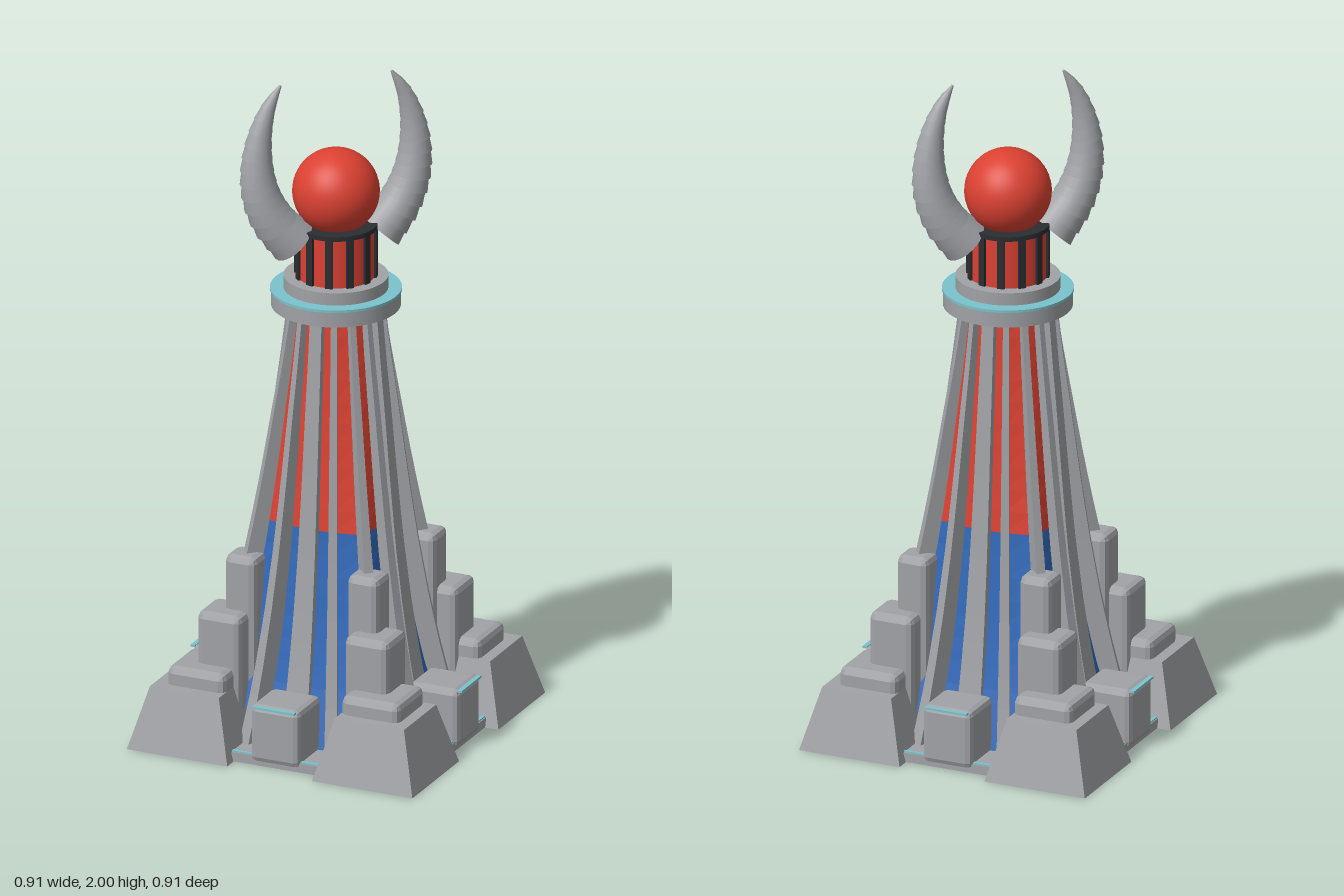
import * as THREE from 'three';
import { RoundedBoxGeometry } from 'three/addons/geometries/RoundedBoxGeometry.js';

const mat = (name, color) => {
  const m = new THREE.MeshStandardMaterial({ color });
  m.name = name;
  return m;
};

// Half width of the shaft by height: [y, radius]
const PROFILE = [[0, 0.3], [0.2, 0.256], [0.4, 0.224], [0.6, 0.199], [0.8, 0.18], [1.0, 0.163], [1.15, 0.149], [1.32, 0.135]];
function halfWidth(y) {
  for (let i = 1; i < PROFILE.length; i++) {
    const [y0, r0] = PROFILE[i - 1], [y1, r1] = PROFILE[i];
    if (y <= y1) return r0 + (r1 - r0) * (y - y0) / (y1 - y0);
  }
  return PROFILE[PROFILE.length - 1][1];
}
// Square at the foot, blending to round at the top
function shaftRadius(angle, y) {
  const square = 1 / Math.max(Math.abs(Math.cos(angle)), Math.abs(Math.sin(angle)));
  return halfWidth(y) * (1 + (1 - y / 1.32) * (square - 1));
}
const coreRadius = (angle, y) => shaftRadius(angle, y) - 0.016 * Math.min(1, y / 0.3);

function flat(geometry) {
  const g = geometry.index ? geometry.toNonIndexed() : geometry;
  g.computeVertexNormals();
  return g;
}

function coreGeometry(y0, y1) {
  const g = new THREE.CylinderGeometry(1, 1, 1, 16, 10);
  const p = g.attributes.position;
  for (let i = 0; i < p.count; i++) {
    const x = p.getX(i), z = p.getZ(i), y = y0 + (p.getY(i) + 0.5) * (y1 - y0);
    const r = Math.hypot(x, z) < 0.5 ? 0 : coreRadius(Math.atan2(x, z), y);
    p.setXYZ(i, x * r, y, z * r);
  }
  return flat(g);
}

// Curved buttress pointing along +z, shaped for its place around the shaft
function ribGeometry(angle, widthRatio, proudFoot, proudTop) {
  const g = new THREE.BoxGeometry(1, 1, 1, 1, 16, 1);
  const p = g.attributes.position;
  for (let i = 0; i < p.count; i++) {
    const t = p.getY(i) + 0.5, y = 0.004 + t * 1.312;
    const r = shaftRadius(angle, y);
    const proud = proudFoot + (proudTop - proudFoot) * t;
    const z = p.getZ(i) > 0 ? r + proud : r * 0.8;
    p.setXYZ(i, p.getX(i) * 2 * halfWidth(y) * widthRatio, y, z);
  }
  return flat(g);
}

export function createModel() {
  const model = new THREE.Group();
  model.name = 'tower';
  const grey = mat('stone grey', 0xa0a2a6), red = mat('red', 0xdb4132), blue = mat('blue', 0x3068b8);
  const teal = mat('pale teal', 0x7cc3cc), dark = mat('dark trim', 0x2b2d31);

  const add = (parent, name, geometry, material, x = 0, y = 0, z = 0) => {
    const m = new THREE.Mesh(geometry, material);
    m.name = name;
    m.position.set(x, y, z);
    parent.add(m);
    return m;
  };
  const cyl = (name, rTop, rBottom, y0, y1, material, sides = 48) =>
    add(model, name, new THREE.CylinderGeometry(rTop, rBottom, y1 - y0, sides), material, 0, (y0 + y1) / 2);
  const block = (w, h, d, c) => flat(new RoundedBoxGeometry(w, h, d, 1, c));

  // Shaft core in two colours
  add(model, 'lowerCore', coreGeometry(0, 0.66), blue);
  add(model, 'upperCore', coreGeometry(0.66, 1.31), red);

  // Sixteen ribs: broad on the four faces, slim between
  for (let i = 0; i < 16; i++) {
    const a = i * Math.PI / 8;
    const g = i % 4 === 0 ? ribGeometry(a, 0.136, 0.004, 0.002) : ribGeometry(a, 0.065, 0.045, 0.004);
    add(model, 'rib', g, grey).rotation.y = a;
  }

  for (let i = 0; i < 4; i++) {
    // Stepped corner buttress
    const corner = new THREE.Group();
    corner.name = 'cornerButtress';
    corner.rotation.y = i * Math.PI / 2;
    const foot = new THREE.CylinderGeometry(0.22 / Math.SQRT2, 0.32 / Math.SQRT2, 0.186, 4);
    add(corner, 'cornerFoot', flat(foot.rotateY(Math.PI / 4)), grey, 0.295, 0.094, 0.295);
    for (const [inner, outer, top] of [[0.185, 0.37, 0.242], [0.165, 0.305, 0.4], [0.145, 0.245, 0.565]]) {
      const c = (inner + outer) / 2, w = outer - inner, bottom = 0.05;
      add(corner, 'cornerStep', block(w, top - bottom, w, 0.02), grey, c, (top + bottom) / 2, c);
    }
    model.add(corner);

    // Side platform with gate block and teal trim
    const side = new THREE.Group();
    side.name = 'sideGate';
    side.rotation.y = i * Math.PI / 2;
    add(side, 'platform', new THREE.BoxGeometry(0.284, 0.028, 0.215), grey, 0, 0.016, 0.305);
    add(side, 'platformTrim', new THREE.BoxGeometry(0.284, 0.006, 0.01), teal, 0, 0.031, 0.404);
    add(side, 'gateBlock', block(0.156, 0.178, 0.16, 0.018), grey, 0, 0.103, 0.345);
    add(side, 'gateTrim', new THREE.BoxGeometry(0.134, 0.006, 0.014), teal, 0, 0.187, 0.425);
    model.add(side);
  }

  // Collar
  cyl('collar', 0.188, 0.188, 1.3, 1.346, grey);
  cyl('collarTrim', 0.191, 0.191, 1.346, 1.354, teal);
  cyl('collarStep', 0.152, 0.152, 1.354, 1.392, grey);

  // Lantern drum with dark bars
  cyl('drum', 0.114, 0.114, 1.39, 1.542, red);
  cyl('drumRim', 0.121, 0.121, 1.54, 1.554, dark);
  for (let i = 0; i < 12; i++) {
    const a = (i + 0.5) * Math.PI / 6;
    add(model, 'drumBar', new THREE.BoxGeometry(0.022, 0.15, 0.014), dark,
      Math.sin(a) * 0.114, 1.466, Math.cos(a) * 0.114).rotation.y = a;
  }
  add(model, 'orb', new THREE.SphereGeometry(0.127, 40, 28), red, 0, 1.652, 0);

  // Pair of ringed horns on one diagonal, curving in over the orb
  const path = new THREE.CatmullRomCurve3(
    [[0.135, 1.515], [0.19, 1.58], [0.228, 1.66], [0.243, 1.75], [0.235, 1.85], [0.207, 1.94], [0.172, 2.0]]
      .map(([s, y]) => new THREE.Vector3(s, y, 0)));
  const hornRadius = t => 0.066 * Math.pow(1 - t, 0.8) * (1 + 0.35 * t) + 0.004;
  const rings = 14, up = new THREE.Vector3(0, 1, 0);
  for (const angle of [Math.PI / 4, Math.PI * 5 / 4]) {
    const horn = new THREE.Group();
    horn.name = 'horn';
    horn.rotation.y = angle;
    for (let i = 0; i < rings; i++) {
      const t0 = i / rings, t1 = (i + 1) / rings;
      const a = path.getPointAt(t0), b = path.getPointAt(t1), d = b.clone().sub(a);
      const g = new THREE.CylinderGeometry(hornRadius(t1) * 0.93, hornRadius(t0) * 1.03, d.length() * 1.12, 20);
      const ring = add(horn, 'hornRing', g, grey);
      ring.position.copy(a).add(b).multiplyScalar(0.5);
      ring.quaternion.setFromUnitVectors(up, d.normalize());
    }
    model.add(horn);
  }
  return model;
}
